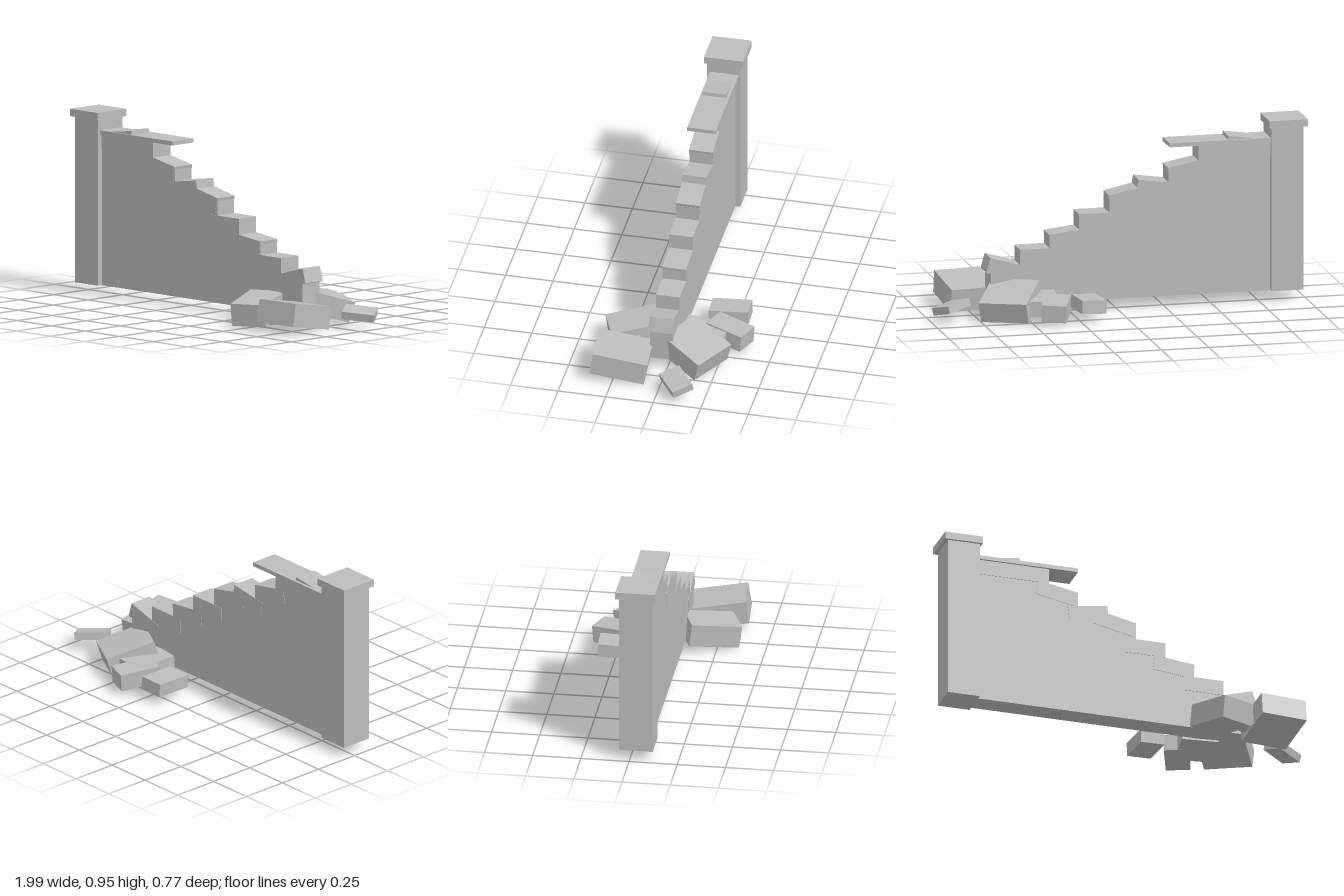
import * as THREE from 'three';

export function createModel() {
  const model = new THREE.Group();
  const stone = new THREE.MeshStandardMaterial({ color: 0xbcbcbc, flatShading: true });

  const add = (name, geometry) => {
    const mesh = new THREE.Mesh(geometry, stone);
    mesh.name = name;
    model.add(mesh);
    return mesh;
  };

  // axis-aligned box given by its limits
  const box = (name, x0, x1, y0, y1, z0, z1) => {
    const mesh = add(name, new THREE.BoxGeometry(x1 - x0, y1 - y0, z1 - z0));
    mesh.position.set((x0 + x1) / 2, (y0 + y1) / 2, (z0 + z1) / 2);
    return mesh;
  };

  // end pillar and its cap
  box('pillar', -0.98, -0.81, 0.06, 0.93, -0.055, 0.12);
  box('pillarCap', -1, -0.797, 0.922, 0.96, -0.072, 0.134);

  // steps of the ruined wall: right end, top at left, top at right
  const steps = [
    [-0.43, 0.845, 0.845], [-0.27, 0.765, 0.733], [-0.115, 0.658, 0.68],
    [0.042, 0.64, 0.605], [0.2, 0.515, 0.515], [0.357, 0.433, 0.415],
    [0.512, 0.345, 0.345], [0.668, 0.265, 0.31],
  ];

  // wall core, stepping down just beneath the top stones
  const profile = new THREE.Shape();
  profile.moveTo(-0.83, 0.06);
  let left = -0.83;
  for (const [right, a, b] of steps) {
    const y = Math.min(a, b) - 0.015;
    profile.lineTo(left, y);
    profile.lineTo(right - 0.002, y);
    left = right - 0.002;
  }
  profile.lineTo(left, 0.06);
  const core = new THREE.ExtrudeGeometry(profile, { depth: 0.12, bevelEnabled: false });
  core.translate(0, 0, -0.028);
  add('wallCore', core);

  // loose top stones, each with its own tilt
  steps.forEach(([right, a, b], i) => {
    const start = i ? steps[i - 1][0] : -0.81;
    const tilt = Math.atan2(b - a, right - start);
    const length = right - start + (i ? 0.06 : 0);
    const thick = 0.08;
    const geo = new THREE.BoxGeometry(length, thick, 0.125);
    geo.translate(-length / 2, -thick / 2, 0);
    const mesh = add('stepStone' + (i + 1), geo);
    mesh.position.set(right, b, 0.0325);
    mesh.rotation.z = tilt;
  });

  // coping slab and the tilted brick rising through it
  box('copingSlab', -0.81, -0.275, 0.845, 0.866, -0.045, 0.106);
  const brick = box('tiltedBrick', -0.785, -0.585, 0.822, 0.87, -0.03, 0.095);
  brick.position.y = 0.848;
  brick.rotation.z = 0.13;

  // fallen block: a top corner, its two neighbours and the height
  const rubble = (name, corner, next, other, height) => {
    const p = new THREE.Vector3(...corner);
    let u = new THREE.Vector3(...next).sub(p);
    let v = new THREE.Vector3(...other).sub(p);
    if (u.z * v.x - u.x * v.z < 0) [u, v] = [v, u];
    const up = new THREE.Vector3().crossVectors(u, v).normalize();
    const mesh = add(name, new THREE.BoxGeometry(u.length(), height, v.length()));
    const x = u.clone().normalize();
    const z = new THREE.Vector3().crossVectors(x, up);
    mesh.quaternion.setFromRotationMatrix(new THREE.Matrix4().makeBasis(x, up, z));
    mesh.position.copy(p).addScaledVector(u, 0.5).addScaledVector(v, 0.5).addScaledVector(up, -height / 2);
  };

  // front side of the wall
  rubble('frontRightBlock', [0.605, 0.13, 0.08], [0.85, 0.13, 0.07], [0.63, 0.175, 0.36], 0.12);
  rubble('frontLeftBlock', [0.33, 0.168, 0.135], [0.505, 0.17, 0.06], [0.43, 0.13, 0.38], 0.118);
  rubble('frontChip', [0.54, 0.11, 0.18], [0.61, 0.11, 0.13], [0.6, 0.1, 0.28], 0.06);

  // back side of the wall
  rubble('backLargeBlock', [0.77, 0.112, -0.185], [0.55, 0.12, -0.31], [0.645, 0.188, 0.03], 0.11);
  rubble('backTallBlock', [0.355, 0.118, -0.39], [0.475, 0.12, -0.345], [0.28, 0.133, -0.19], 0.09);
  rubble('backBuriedBlock', [0.33, 0.13, -0.04], [0.36, 0.12, -0.27], [0.52, 0.13, -0.02], 0.08);
  rubble('backSmallBlock', [0.125, 0.125, -0.325], [0.255, 0.13, -0.333], [0.135, 0.115, -0.12], 0.07);
  rubble('farChip', [0.86, 0.095, 0], [0.795, 0.12, -0.09], [0.995, 0.08, -0.1], 0.04);

  return model;
}
